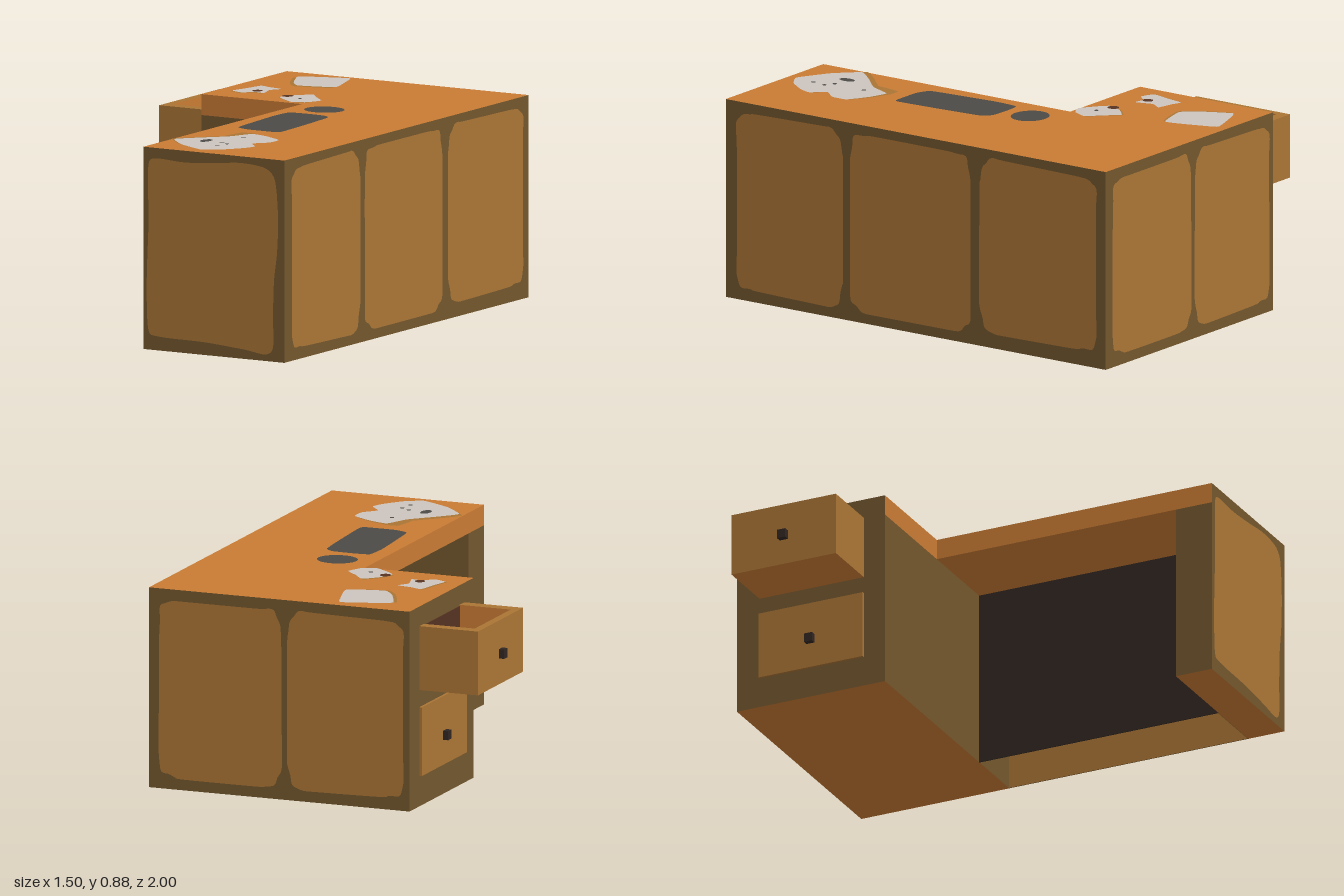
import * as THREE from 'three';

const mat = (name, color) => {
  const m = new THREE.MeshStandardMaterial({ color });
  m.name = name;
  return m;
};

export function createModel() {
  const desk = new THREE.Group();
  desk.name = 'cornerDesk';

  const orange = mat('orangeWood', 0xc97b34);
  const frame = mat('darkFrame', 0x73572e);
  const wood = mat('panelWood', 0xab7535);
  const inside = mat('drawerBrown', 0x563322);
  const dark = mat('nearBlack', 0x302622);
  const pad = mat('deskPadGrey', 0x4b4a46);
  const paper = mat('paper', 0xccc4bd);

  // Box given by its limits; materials run +x, -x, +y, -y, +z, -z
  function box(name, [x0, x1], [y0, y1], [z0, z1], material, parent = desk) {
    const mesh = new THREE.Mesh(new THREE.BoxGeometry(x1 - x0, y1 - y0, z1 - z0), material);
    mesh.position.set((x0 + x1) / 2, (y0 + y1) / 2, (z0 + z1) / 2);
    mesh.name = name;
    parent.add(mesh);
    return mesh;
  }

  // Flat painted patch from a closed outline
  function patch(name, points, material, tension = 0.25) {
    const curve = new THREE.CatmullRomCurve3(
      points.map(([u, v]) => new THREE.Vector3(u, v, 0)), true, 'catmullrom', tension);
    const outline = curve.getPoints(points.length * 5).map((p) => new THREE.Vector2(p.x, p.y));
    outline.pop();
    const mesh = new THREE.Mesh(new THREE.ShapeGeometry(new THREE.Shape(outline)), material);
    mesh.name = name;
    desk.add(mesh);
    return mesh;
  }

  // Patch lying on the desk top, points as x, z
  function onTop(name, points, material, lift = 0.003, tension = 0.2) {
    const mesh = patch(name, points.map(([x, z]) => [x, -z]), material, tension);
    mesh.rotation.x = -Math.PI / 2;
    mesh.position.y = 0.87 + lift;
    return mesh;
  }

  const oval = (x, z, rx, rz) => Array.from({ length: 12 }, (_, i) => {
    const a = (i / 12) * Math.PI * 2;
    return [x + Math.cos(a) * rx, z + Math.sin(a) * rz];
  });

  // Hand-cut rectangle with rounded corners and slightly wavy sides
  function wavyRect(u0, u1, v0, v1, phase) {
    const pts = [];
    const n = 44;
    const power = (c) => Math.sign(c) * Math.pow(Math.abs(c), 0.2);
    for (let i = 0; i < n; i++) {
      const a = ((i + 0.5) / n) * Math.PI * 2;
      const wave = 1 + 0.012 * Math.sin(a * 5 + phase) + 0.008 * Math.sin(a * 9 + phase * 2);
      pts.push([
        (u0 + u1) / 2 + ((u1 - u0) / 2) * power(Math.cos(a)) * wave,
        (v0 + v1) / 2 + ((v1 - v0) / 2) * power(Math.sin(a)) * wave,
      ]);
    }
    return pts;
  }

  // Desk top in two slabs, with orange edges on the sitter's side
  box('wingTop', [-0.455, 0.745], [0.78, 0.87], [-1, -0.3],
    [frame, frame, orange, orange, orange, frame]);
  box('armTop', [0.045, 0.745], [0.78, 0.87], [-0.3, 1],
    [frame, orange, orange, orange, frame, frame]);

  // Cabinet under the wing, end pedestal and the panels between
  const carcass = [frame, frame, frame, orange, frame, frame];
  box('wingCabinet', [-0.455, 0.745], [0, 0.78], [-1, -0.3], carcass);
  box('endPedestal', [0.045, 0.745], [0, 0.78], [0.83, 1], carcass);
  box('pedestalInnerFace', [0.455, 0.742], [0, 0.78], [0.827, 0.83], wood);
  box('outerWall', [0.741, 0.745], [0, 0.78], [-0.3, 0.83], [frame, wood, frame, frame, frame, frame]);
  box('kneePanel', [0.453, 0.457], [0, 0.78], [-0.3, 0.83], dark);

  // Painted panel on the front end
  patch('frontPanel', [
    [0.07, 0.78], [0.1, 0.825], [0.25, 0.82], [0.4, 0.83], [0.53, 0.842], [0.65, 0.83],
    [0.7, 0.78], [0.715, 0.62], [0.71, 0.47], [0.695, 0.35], [0.69, 0.2], [0.69, 0.06],
    [0.65, 0.028], [0.55, 0.04], [0.35, 0.055], [0.12, 0.06], [0.07, 0.09], [0.063, 0.3],
    [0.072, 0.55],
  ], wood, 0.4).position.z = 1.002;

  // Painted panels along the right-hand long wall
  [[0.385, 0.945, 0.045, 0.83], [-0.29, 0.345, 0.045, 0.832], [-0.955, -0.34, 0.065, 0.832]]
    .forEach(([z0, z1, y0, y1], i) => {
      const m = patch('sidePanel', wavyRect(-z1, -z0, y0, y1, i * 2 + 1), wood, 0.4);
      m.rotation.y = Math.PI / 2;
      m.position.x = 0.747;
    });

  // Painted panels on the back
  [[0.135, 0.7], [-0.43, 0.105]].forEach(([x0, x1], i) => {
    const m = patch('backPanel', wavyRect(-x1, -x0, 0.05, 0.825, i * 3 + 2), wood, 0.4);
    m.rotation.y = Math.PI;
    m.position.z = -1.002;
  });

  // Open upper drawer
  const drawer = new THREE.Group();
  drawer.name = 'openDrawer';
  desk.add(drawer);
  const y = [0.507, 0.785];
  box('drawerFront', [-0.725, -0.69], y, [-0.893, -0.4], [orange, wood, wood, orange, wood, wood], drawer);
  box('drawerBackSide', [-0.69, -0.455], y, [-0.893, -0.845],
    [wood, wood, wood, orange, orange, wood], drawer);
  box('drawerFrontSide', [-0.69, -0.455], y, [-0.453, -0.4],
    [wood, wood, wood, orange, wood, orange], drawer);
  box('drawerFloor', [-0.69, -0.455], [0.507, 0.56], [-0.845, -0.453],
    [wood, wood, inside, orange, wood, wood], drawer);
  box('drawerBack', [-0.458, -0.455], [0.56, 0.78], [-0.845, -0.453], inside, drawer);
  box('drawerNote', [-0.485, -0.459], [0.56, 0.564], [-0.83, -0.79], paper, drawer);
  box('drawerPen', [-0.53, -0.487], [0.56, 0.564], [-0.815, -0.8], dark, drawer);

  // Closed lower drawer and the two knobs
  box('closedDrawer', [-0.467, -0.455], [0.133, 0.432], [-0.893, -0.4], wood);
  box('upperKnob', [-0.75, -0.725], [0.62, 0.66], [-0.665, -0.627], dark);
  box('lowerKnob', [-0.492, -0.467], [0.243, 0.282], [-0.665, -0.627], dark);

  // Desk pads
  onTop('roundPad', oval(0.21, -0.21, 0.088, 0.08), pad, 0.003, 0.5);
  onTop('longPad', [
    [0.12, -0.07], [0.2, -0.08], [0.29, -0.075], [0.33, -0.04], [0.345, 0.15], [0.355, 0.37],
    [0.34, 0.4], [0.2, 0.4], [0.135, 0.37], [0.12, 0.2], [0.11, 0.04],
  ], pad);

  // Papers, each with a brown edge peeping out beneath
  const sheets = [
    { shift: [-0.01, 0.016], points: [[-0.33, -0.88], [-0.28, -0.91], [-0.12, -0.96], [-0.09, -0.89],
      [-0.05, -0.73], [-0.21, -0.685], [-0.27, -0.75]] },
    { shift: [-0.008, 0.004], points: [[-0.34, -0.6], [-0.29, -0.585], [-0.22, -0.57], [-0.25, -0.52],
      [-0.23, -0.44], [-0.28, -0.445], [-0.32, -0.405], [-0.38, -0.43], [-0.36, -0.51]] },
    { shift: [-0.006, -0.004], points: [[-0.03, -0.515], [0.02, -0.46], [0.08, -0.4], [0.05, -0.33],
      [-0.01, -0.303], [-0.08, -0.35], [-0.12, -0.39], [-0.09, -0.46]] },
    { shift: [-0.02, -0.015], points: [[0.28, 0.495], [0.37, 0.52], [0.46, 0.575], [0.46, 0.65],
      [0.41, 0.71], [0.46, 0.77], [0.44, 0.83], [0.38, 0.91], [0.3, 0.955], [0.16, 0.88],
      [0.065, 0.78], [0.14, 0.69], [0.23, 0.6]] },
  ];
  for (const { points, shift } of sheets) {
    onTop('paperEdge', points.map(([x, z]) => [x + shift[0], z + shift[1]]), wood, 0.002);
    onTop('paperSheet', points, paper, 0.004);
  }
  onTop('looseEdge', [[0.22, 0.48], [0.28, 0.475], [0.31, 0.5], [0.25, 0.57], [0.2, 0.6]], wood, 0.0025);

  // Blots on the papers
  onTop('blot', oval(-0.28, -0.47, 0.022, 0.024), inside, 0.006);
  onTop('blot', oval(-0.1, -0.42, 0.024, 0.026), inside, 0.006);
  onTop('blot', oval(0.208, 0.755, 0.022, 0.038), pad, 0.006);
  for (const [x, z] of [[0.29, 0.76], [0.33, 0.785], [0.32, 0.85], [0.3, 0.6], [-0.02, -0.39]]) {
    onTop('speck', oval(x, z, 0.01, 0.01), pad, 0.006);
  }

  return desk;
}
